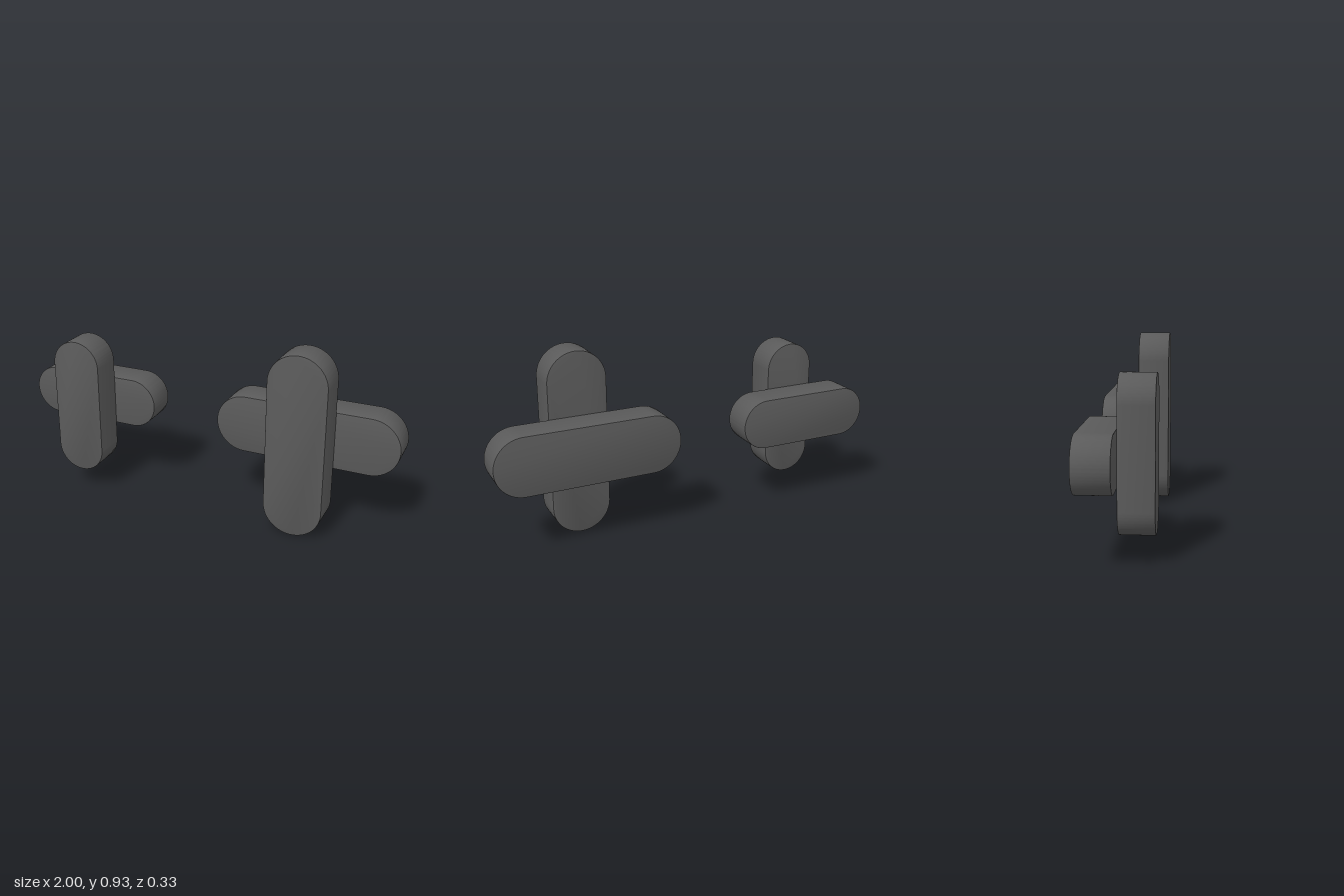
import * as THREE from 'three';
import { toCreasedNormals } from 'three/addons/utils/BufferGeometryUtils.js';

const DEPTH = 0.165;
const BEVEL = 0.004;

// Upright bar with semicircular ends, centred on x and y, from z = 0 to z = DEPTH
function barGeometry(length, width) {
  const r = width / 2 - BEVEL;
  const h = (length - width) / 2;
  const shape = new THREE.Shape();
  shape.absarc(0, h, r, 0, Math.PI);
  shape.absarc(0, -h, r, Math.PI, Math.PI * 2);
  shape.closePath();
  const geometry = new THREE.ExtrudeGeometry(shape, {
    depth: DEPTH - 2 * BEVEL,
    curveSegments: 32,
    bevelThickness: BEVEL,
    bevelSize: BEVEL,
    bevelSegments: 2,
  });
  geometry.translate(0, 0, BEVEL);
  return toCreasedNormals(geometry, 0.6);
}

// Upright bar in front of a level bar, touching at z = 0
function crossedBars(name, length, width, material) {
  const geometry = barGeometry(length, width);
  const upright = new THREE.Mesh(geometry, material);
  upright.name = 'uprightBar';
  const level = new THREE.Mesh(geometry, material);
  level.name = 'levelBar';
  level.rotation.z = Math.PI / 2;
  level.position.z = -DEPTH;
  const group = new THREE.Group();
  group.name = name;
  group.add(upright, level);
  return group;
}

export function createModel() {
  const model = new THREE.Group();
  model.name = 'crossedBarPair';
  const material = new THREE.MeshStandardMaterial({ color: 0x5a5a5a });

  const large = crossedBars('largeCross', 0.93, 0.295, material);
  large.position.set(0.535, 0.465, 0);
  const small = crossedBars('smallCross', 0.714, 0.257, material);
  small.position.set(-0.643, 0.467, 0);
  model.add(large, small);
  return model;
}
